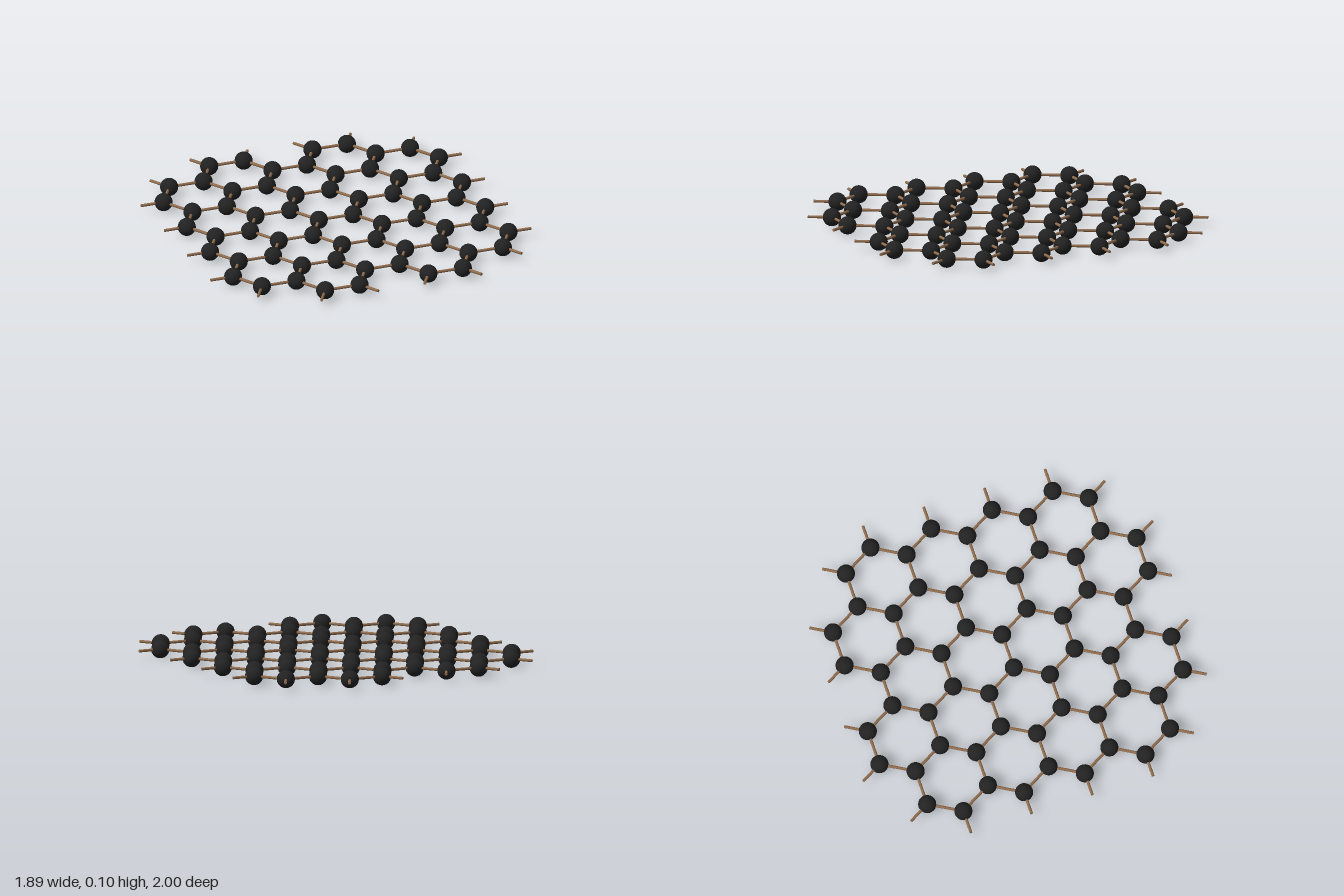
import * as THREE from 'three';

const BOND = 0.2034;                     // centre-to-centre spacing
const ROW = BOND * Math.sqrt(3) / 2;     // distance between rows
const STUB = 0.133;                      // length of the open rods on the rim
const RADIUS = 0.05;

export function createModel() {
  const model = new THREE.Group();
  model.name = 'hexagonalLattice';
  const ballMaterial = new THREE.MeshStandardMaterial({ color: 0x222222 });
  const rodMaterial = new THREE.MeshStandardMaterial({ color: 0x8f6b4c });
  const ballGeometry = new THREE.SphereGeometry(RADIUS, 32, 18);
  const rodGeometry = new THREE.CylinderGeometry(0.008, 0.008, 1, 12);
  const up = new THREE.Vector3(0, 1, 0);

  // Atom sites, in half bonds along x and rows along z
  const sites = new Map();
  for (let row = -5; row <= 5; row++) {
    let columns = row % 2 ? [2, 4, 8] : [1, 5, 7];
    if (Math.abs(row) === 5) columns = [2, 4];
    for (const c of columns) {
      for (const i of [c, -c]) sites.set(`${i},${row}`, [i, row]);
    }
  }

  const addRod = (start, direction, length, name) => {
    const rod = new THREE.Mesh(rodGeometry, rodMaterial);
    rod.name = name;
    rod.scale.y = length;
    rod.quaternion.setFromUnitVectors(up, direction);
    rod.position.copy(start).addScaledVector(direction, length / 2);
    model.add(rod);
  };

  for (const [i, row] of sites.values()) {
    const centre = new THREE.Vector3(i * BOND / 2, RADIUS, row * ROW);
    const ball = new THREE.Mesh(ballGeometry, ballMaterial);
    ball.name = 'atom';
    ball.position.copy(centre);
    model.add(ball);

    // Three rods per atom: one along x, two slanting the other way
    const side = ((i % 3) + 3) % 3 === 2 ? 1 : -1;
    for (const [di, dr] of [[2 * side, 0], [-side, 1], [-side, -1]]) {
      const direction = new THREE.Vector3(di * BOND / 2, 0, dr * ROW).normalize();
      const linked = sites.has(`${i + di},${row + dr}`);
      if (!linked) addRod(centre, direction, STUB, 'openBond');
      else if (side === 1) addRod(centre, direction, BOND, 'bond');
    }
  }
  return model;
}
